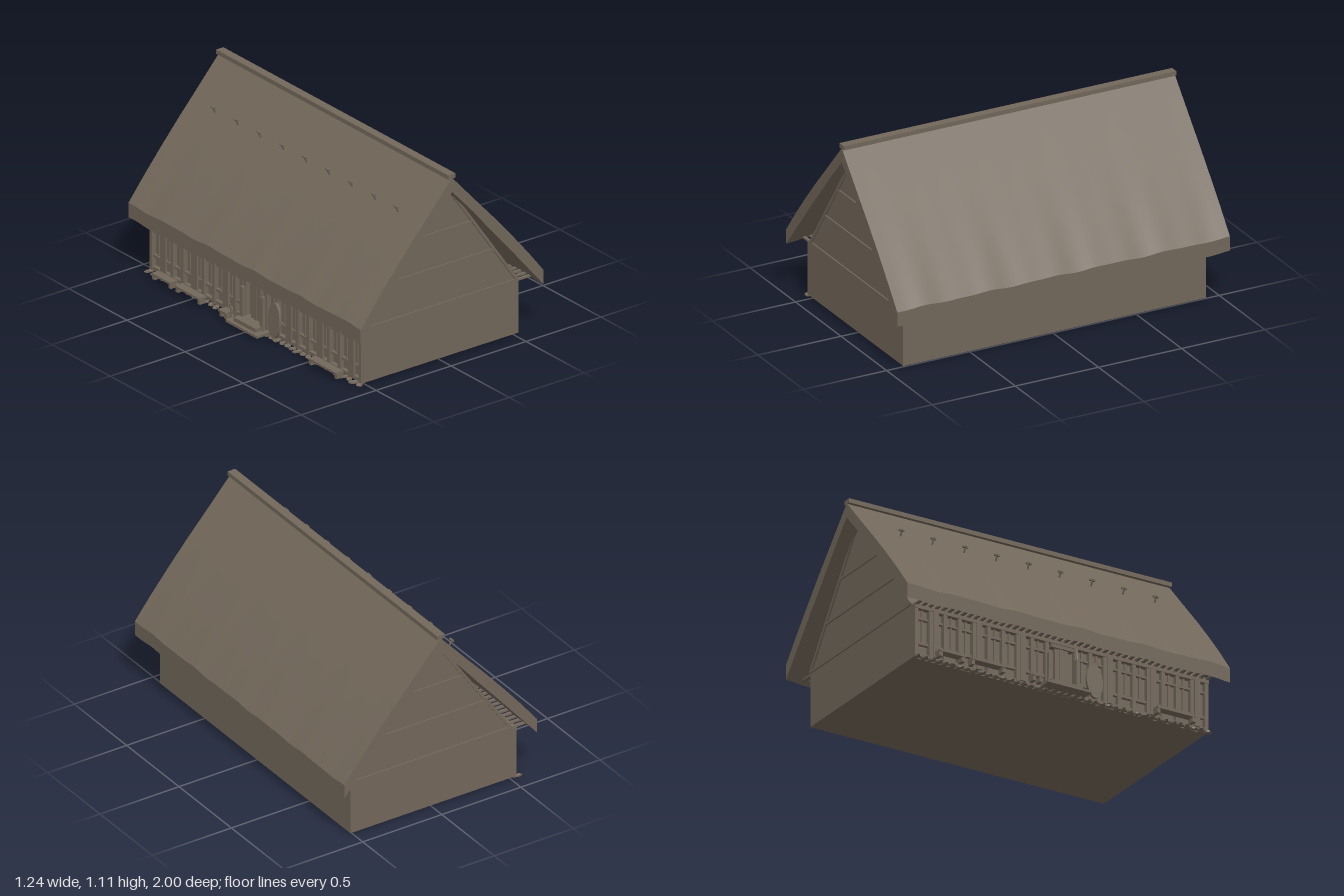
import * as THREE from 'three';
import { toCreasedNormals } from 'three/addons/utils/BufferGeometryUtils.js';

export function createModel() {
  const house = new THREE.Group();
  house.name = 'thatchedLonghouse';
  const wood = new THREE.MeshStandardMaterial({ color: 0x72675a });
  wood.name = 'weathered brown';
  const CX = 0.007; // ridge line

  let seed = 7;
  const rand = () => (seed = (seed * 16807) % 2147483647) / 2147483647;

  const group = (name) => {
    const g = new THREE.Group();
    g.name = name;
    house.add(g);
    return g;
  };
  const add = (name, geo, parent = house) => {
    const m = new THREE.Mesh(geo, wood);
    m.name = name;
    parent.add(m);
    return m;
  };
  // box from its min and max corners
  const box = (name, x0, x1, y0, y1, z0, z1, parent) => {
    const m = add(name, new THREE.BoxGeometry(x1 - x0, y1 - y0, z1 - z0), parent);
    m.position.set((x0 + x1) / 2, (y0 + y1) / 2, (z0 + z1) / 2);
    return m;
  };
  const shapeOf = (pts) => new THREE.Shape(pts.map(([x, y]) => new THREE.Vector2(x, y)));

  // walls and gables as one solid
  const body = new THREE.ExtrudeGeometry(
    shapeOf([[-0.505, 0.014], [0.518, 0.014], [0.518, 0.325], [CX, 1.05], [-0.505, 0.325]]),
    { depth: 1.82, bevelEnabled: false });
  body.translate(0, 0, -0.91);
  add('wallsAndGables', body);

  // gable timbers: cross rails and sloping rafters at both ends
  const timbers = group('gableTimbers');
  for (const s of [-1, 1]) {
    const z0 = s > 0 ? 0.908 : -0.918, z1 = z0 + 0.01;
    for (const [y, half] of [[0.322, 0.503], [0.541, 0.348], [0.745, 0.207]])
      box('gableRail', CX - half, CX + half, y, y + 0.013, z0, z1, timbers);
    for (const side of [-1, 1]) {
      const len = Math.hypot(0.505, 0.725);
      const r = add('gableRafter', new THREE.BoxGeometry(0.016, len, 0.014), timbers);
      r.position.set(CX + side * 0.249, 0.687, s * 0.913);
      r.rotation.z = side * Math.atan2(0.505, 0.725);
    }
  }

  // thatch: curved slab with an uneven eave
  const outer = [[0.61, 0.385], [0.51, 0.512], [0.4, 0.644], [0.28, 0.782], [0.15, 0.925], [0, 1.092]];
  const under = [[0, 1.01], [0.14, 0.856], [0.21, 0.772], [0.35, 0.61], [0.48, 0.456], [0.61, 0.302]];
  const right = ([x, y]) => [CX + x, y], left = ([x, y]) => [CX - x, y];
  const outline = [
    ...outer.map(right), ...outer.slice(0, -1).reverse().map(left),
    ...under.slice(1).reverse().map(left), ...under.map(right),
  ];
  const thatch = new THREE.ExtrudeGeometry(shapeOf(outline), { depth: 2, steps: 60, bevelEnabled: false });
  thatch.translate(0, 0, -1);
  const p = thatch.attributes.position;
  for (let i = 0; i < p.count; i++) {
    const x = p.getX(i), z = p.getZ(i), w = (Math.abs(x - CX) / 0.61) ** 3;
    p.setY(i, p.getY(i) + w * (0.003 * Math.sin(17 * z) + 0.002 * Math.sin(31 * z + Math.sign(x))));
  }
  add('thatchRoof', toCreasedNormals(thatch, 0.5));
  box('ridgeBeam', -0.018, 0.03, 1.087, 1.112, -1, 1);

  // joist ends under both eaves
  const joists = group('eaveJoists');
  for (let i = 0; i < 46; i++) {
    const z = -0.9 + i * 0.04;
    box('joistRight', 0.5, 0.61, 0.315, 0.325, z - 0.009, z + 0.009, joists);
    box('joistLeft', -0.597, -0.49, 0.315, 0.325, z - 0.009, z + 0.009, joists);
  }

  // forked pegs on the left slope
  const pegs = group('roofPegs');
  for (let i = 0; i < 9; i++) {
    const z = -0.788 + i * 0.197;
    const peg = add('peg', new THREE.CylinderGeometry(0.005, 0.005, 0.06, 6), pegs);
    peg.position.set(-0.192, 0.882, z);
    peg.rotation.z = 0.5;
    box('pegBar', -0.206, -0.196, 0.899, 0.909, z - 0.016, z + 0.016, pegs);
  }

  // timber front on the left wall: posts, rails, windows
  const facade = group('timberFront');
  box('topRail', -0.535, -0.5, 0.295, 0.318, -0.91, 0.91, facade);
  const N = 20, step = 1.8 / N;
  for (let i = 0; i <= N; i++) {
    const z = -0.9 + i * step;
    box('post', -0.532, -0.5, 0.014, 0.318, z - 0.011, z + 0.011, facade);
    if (i === N || Math.abs(z + step / 2) < 0.06) continue;
    const a = z + 0.011, b = z + step - 0.011, m = (a + b) / 2;
    box('sill', -0.524, -0.5, 0.09, 0.106, a, b, facade);
    box('lintel', -0.524, -0.5, 0.235, 0.248, a, b, facade);
    box('footRail', -0.528, -0.5, 0.02, 0.038, a, b, facade);
    box('mullion', -0.516, -0.5, 0.1, 0.3, m - 0.005, m + 0.005, facade);
    if (i % 3 === 1) box('shutter', -0.538, -0.526, 0.03, 0.305, a, m, facade);
  }

  // doorway with steps and a leaning oval board
  const porch = group('doorway');
  box('step', -0.622, -0.5, 0.016, 0.03, -0.14, 0.13, porch);
  box('upperStep', -0.6, -0.5, 0.03, 0.052, -0.1, 0.09, porch);
  for (const z of [-0.085, 0.085]) box('doorPost', -0.56, -0.54, 0.03, 0.222, z - 0.012, z + 0.012, porch);
  box('doorLeaf', -0.528, -0.5, 0.05, 0.27, -0.04, 0.04, porch);
  box('doorHead', -0.54, -0.5, 0.27, 0.29, -0.07, 0.07, porch);
  const board = add('ovalBoard', new THREE.CylinderGeometry(0.1, 0.1, 0.016, 24), porch);
  board.scale.z = 0.5;
  board.rotation.z = Math.PI / 2 - 0.06;
  board.position.set(-0.55, 0.125, 0.19);
  for (const [x, y, h, z] of [[-0.548, 0.255, 0.075, 0.085], [-0.602, 0.085, 0.08, -0.12]]) {
    const stick = add('stick', new THREE.CylinderGeometry(0.004, 0.004, h, 6), porch);
    stick.position.set(x, y, z);
    stick.rotation.z = x < -0.6 ? 0.1 : -0.1;
  }

  // low benches along the front
  const benches = group('benches');
  for (const [z0, z1] of [[-0.8, -0.64], [-0.6, -0.39], [-0.22, -0.16], [0.55, 0.79]]) {
    box('benchSeat', -0.605, -0.555, 0.042, 0.054, z0, z1, benches);
    for (const z of [z0, z1 - 0.02]) box('benchLeg', -0.6, -0.56, 0.016, 0.042, z, z + 0.02, benches);
  }

  // uneven footing stones
  const stones = group('footingStones');
  for (let i = 0; i < 42; i++) {
    const z = -0.9 + i * 0.044, d = 0.013 + rand() * 0.009;
    const s = add('stone', new THREE.DodecahedronGeometry(1), stones);
    s.scale.set(0.018 + rand() * 0.018, 0.01, d);
    s.position.set(-0.538, 0.01, z);
    s.rotation.y = rand() - 0.5;
  }
  return house;
}
